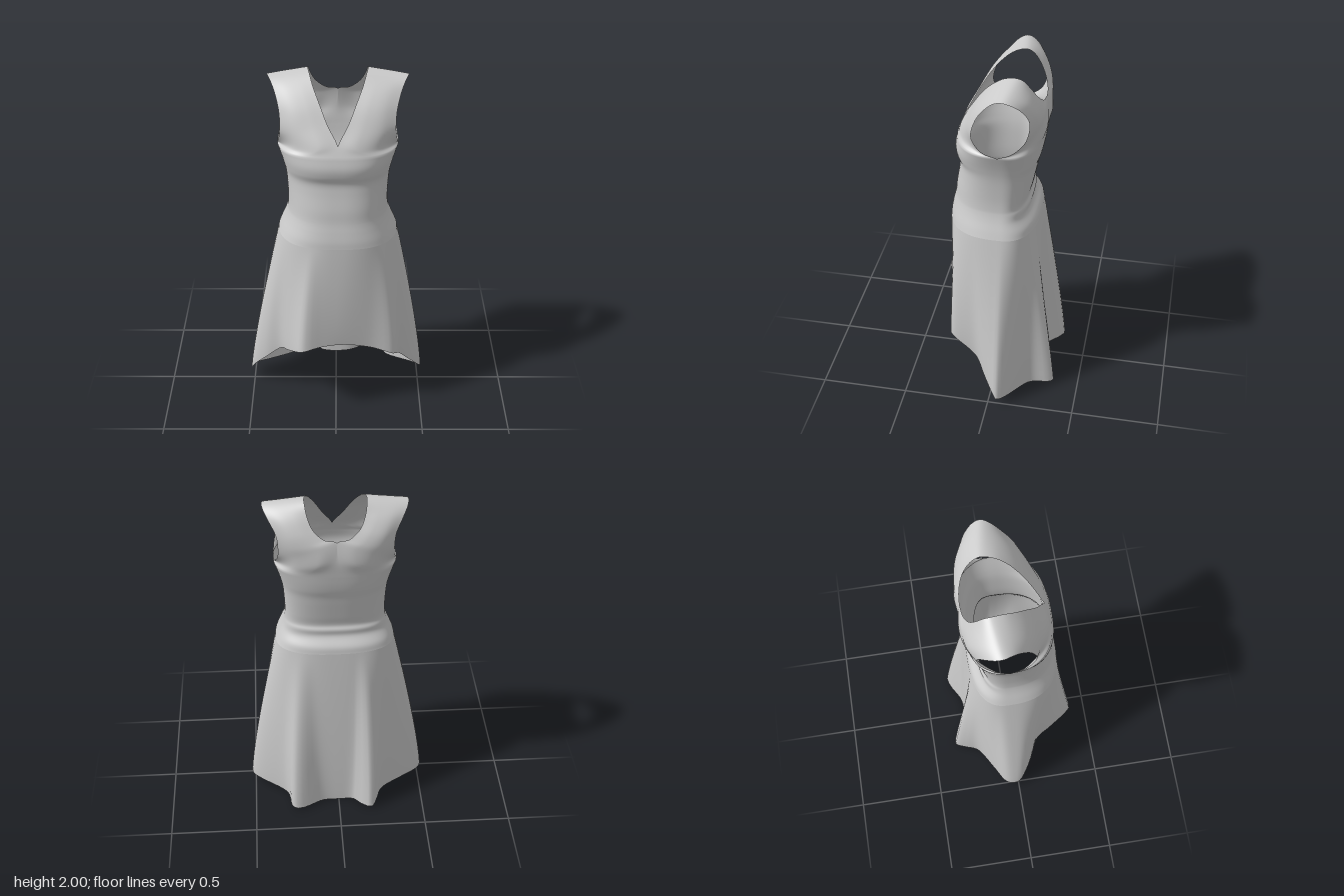
import * as THREE from 'three';
import { mergeGeometries, mergeVertices } from 'three/addons/utils/BufferGeometryUtils.js';

const V = (x, y, z) => new THREE.Vector3(x, y, z);
const CX = 0.01, Z0 = -0.03;   // middle of the body
const Q = 32;                  // columns per quarter turn

// Smooth surface through point(i, j), i across and j along
function grid(nu, nv, point) {
  const pos = [], idx = [];
  for (let j = 0; j <= nv; j++)
    for (let i = 0; i <= nu; i++) pos.push(...point(i, j).toArray());
  for (let j = 0; j < nv; j++)
    for (let i = 0; i < nu; i++) {
      const a = j * (nu + 1) + i, b = a + nu + 1;
      idx.push(a, a + 1, b, a + 1, b + 1, b);
    }
  const g = new THREE.BufferGeometry();
  g.setAttribute('position', new THREE.Float32BufferAttribute(pos, 3));
  g.setIndex(idx);
  return g;
}

// Point on a rounded-box cross-section; phi runs from +x to +z
function oval(phi, y, halfWidth, front, back) {
  const bend = v => Math.sign(v) * Math.abs(v) ** 0.77;
  const s = Math.sin(phi);
  return V(CX + halfWidth * bend(Math.cos(phi)), y, Z0 + (s > 0 ? front - Z0 : Z0 - back) * bend(s));
}
const angle = i => ((i % (4 * Q)) / Q) * Math.PI / 2;

// Body sections: height, half width, front z, back z
const sections = [
  [1.61, 0.332, 0.233, -0.243], [1.55, 0.312, 0.246, -0.235], [1.5, 0.298, 0.241, -0.225],
  [1.45, 0.288, 0.224, -0.21], [1.39, 0.282, 0.229, -0.198], [1.3, 0.278, 0.245, -0.18],
  [1.24, 0.28, 0.252, -0.168], [1.21, 0.285, 0.257, -0.179], [1.17, 0.298, 0.266, -0.18],
  [1.12, 0.319, 0.276, -0.216], [1.08, 0.335, 0.28, -0.226],
];
const widths = new THREE.CatmullRomCurve3(sections.map(s => V(s[0], s[1], 0)), false, 'catmullrom');
const depths = new THREE.CatmullRomCurve3(sections.map(s => V(s[0], s[2], s[3])), false, 'catmullrom');

// Body ring at t, 0 at the armpit and 1 at the hip
function ring(phi, t) {
  const w = widths.getPoint(t), d = depths.getPoint(t);
  return oval(phi, w.x, w.y, d.y, d.z);
}

// Shoulder rows over one side: neck edge, armhole edge, bulge in z
const rows = [
  [[0, 1.67, 0.205], [0.327, 1.638, 0.055], 0.055],
  [[0.055, 1.77, 0.15], [0.312, 1.71, 0.11], 0.024],
  [[0.1, 1.87, 0.088], [0.315, 1.82, 0.085], 0.014],
  [[0.133, 1.94, 0.027], [0.34, 1.91, 0.025], 0.008],
  [[0.152, 1.985, -0.035], [0.365, 1.957, -0.025], 0],
  [[0.163, 2.0, -0.1], [0.382, 1.972, -0.068], 0],
  [[0.16, 1.985, -0.138], [0.378, 1.96, -0.108], -0.004],
  [[0.15, 1.94, -0.175], [0.352, 1.92, -0.155], -0.012],
  [[0.122, 1.88, -0.209], [0.312, 1.84, -0.193], -0.018],
  [[0.065, 1.832, -0.231], [0.305, 1.77, -0.192], -0.025],
  [[0, 1.818, -0.238], [0.308, 1.7, -0.168], -0.037],
  [[0, 1.71, -0.25], [0.325, 1.64, -0.105], -0.055],
];

function bodiceGeometry() {
  const torso = grid(4 * Q, 60, (i, j) => ring(angle(i), j / 60));

  const across = rows.map(([a, b, bulge]) => {
    const inner = V(...a), outer = V(...b);
    const mid = (k, m) => inner.clone().lerp(outer, k).add(V(0, 0, bulge * m));
    return new THREE.CatmullRomCurve3([inner, mid(1 / 3, 1), mid(2 / 3, 1.2), outer]);
  });
  // One lengthwise curve per column, from chest over the shoulder to the back
  const columns = [];
  for (let s = 0; s <= Q; s++) {
    const front = ring((1 - s / Q) * Math.PI / 2, 0), back = ring((s / Q - 1) * Math.PI / 2, 0);
    front.x -= CX;
    back.x -= CX;
    columns.push(new THREE.CatmullRomCurve3([front, ...across.map(c => c.getPoint(s / Q)), back]));
  }
  const side = sign => grid(Q, 78, (i, j) => {
    const p = columns[sign > 0 ? i : Q - i].getPoint(j / 78);
    return V(CX + sign * Math.max(0, p.x), p.y, p.z);
  });
  return mergeVertices(mergeGeometries([torso, side(1), side(-1)]), 1e-4);
}

// Hem line: short in front, long behind, with deep folds
const hem = new THREE.CatmullRomCurve3([
  [0.52, 0.05, -0.055], [0.5, 0.08, -0.025], [0.44, 0.165, 0.035], [0.38, 0.25, 0.095],
  [0.35, 0.34, 0.22], [0.32, 0.365, 0.253], [0.2, 0.41, 0.258], [0.05, 0.45, 0.29],
  [-0.08, 0.46, 0.327], [-0.18, 0.45, 0.362], [-0.22, 0.43, 0.337], [-0.28, 0.37, 0.23],
  [-0.33, 0.32, 0.14], [-0.42, 0.22, 0.09], [-0.495, 0.125, 0.035], [-0.52, 0.06, -0.01],
  [-0.5, 0.05, -0.08], [-0.4, 0.04, -0.14], [-0.27, 0.03, -0.22], [-0.23, 0.02, -0.3],
  [-0.2, 0.015, -0.36], [-0.15, 0.01, -0.35], [-0.09, 0.005, -0.285], [0, 0, -0.275],
  [0.1, 0.005, -0.285], [0.19, 0.01, -0.335], [0.25, 0.015, -0.355], [0.285, 0.02, -0.33],
  [0.3, 0.02, -0.24], [0.34, 0.025, -0.19], [0.47, 0.04, -0.105],
].map(p => V(...p)), true, 'catmullrom');

function skirtGeometry() {
  const samples = [];
  for (let k = 0; k < 3000; k++) {
    const p = hem.getPoint(k / 3000);
    samples.push({ p, phi: Math.atan2((p.z - Z0) / 0.36, p.x / 0.52) });
  }
  // Hem point lying in the same direction as each body column
  const hemAt = phi => {
    let best = samples[0], most = -2;
    for (const s of samples) {
      const near = Math.cos(s.phi - phi);
      if (near > most) { most = near; best = s; }
    }
    return best.p;
  };
  const ends = [];
  for (let i = 0; i <= 4 * Q; i++) {
    const low = hemAt(angle(i));
    ends.push([ring(angle(i), 1), oval(angle(i), low.y, 0.515, 0.3, -0.325), low]);
  }
  // Flares from the hip as a smooth bell, with the folds deepening downwards
  return mergeVertices(grid(4 * Q, 40, (i, j) => {
    const [hip, bell, low] = ends[i], t = j / 40;
    const p = hip.clone().lerp(bell, 1 - (1 - t) ** 1.25);
    p.addScaledVector(low.clone().sub(bell), t ** 1.1);
    p.y = THREE.MathUtils.lerp(hip.y, low.y, t);
    return p;
  }), 1e-4);
}

export function createModel() {
  const model = new THREE.Group();
  model.name = 'dress';
  const cloth = new THREE.MeshStandardMaterial({ color: 0xcccccc, side: THREE.DoubleSide });
  const add = (name, geometry) => {
    geometry.computeVertexNormals();
    const mesh = new THREE.Mesh(geometry, cloth);
    mesh.name = name;
    model.add(mesh);
  };
  add('bodice', bodiceGeometry());
  add('skirt', skirtGeometry());
  return model;
}
